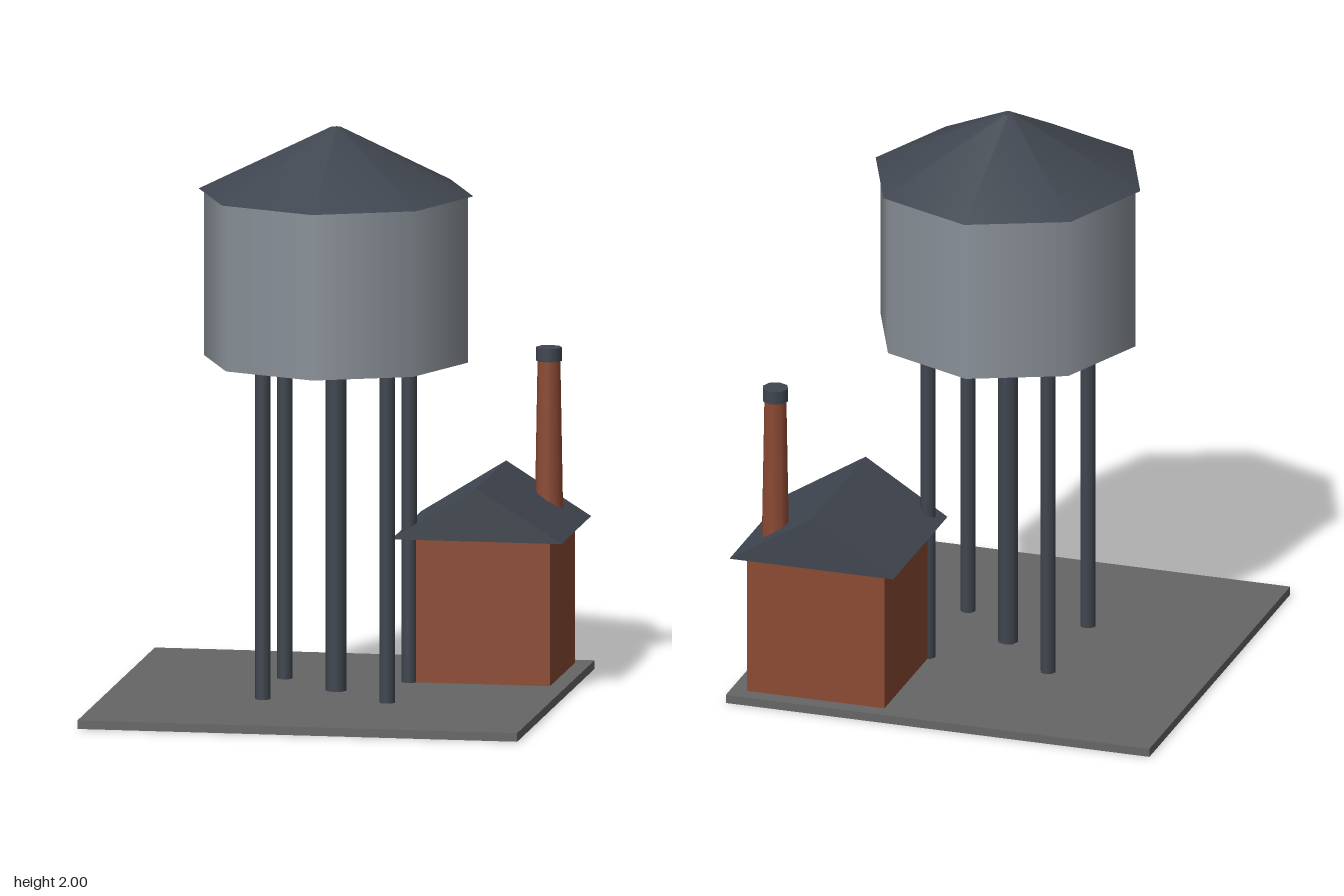
import * as THREE from 'three';

const paint = (name, color) => {
  const m = new THREE.MeshStandardMaterial({ color });
  m.name = name;
  return m;
};

export function createModel() {
  const model = new THREE.Group();
  model.name = 'waterTower';

  const concrete = paint('concrete', 0x666666);
  const steel = paint('tankSteel', 0x8a9199);
  const slate = paint('darkSlate', 0x404650);
  const brick = paint('brick', 0x8c4a33);

  const add = (name, geometry, material, x, y, z) => {
    const mesh = new THREE.Mesh(geometry, material);
    mesh.name = name;
    mesh.position.set(x, y, z);
    model.add(mesh);
    return mesh;
  };
  // Eight-sided upright column between two heights
  const column = (name, rTop, rBottom, y0, y1, material, x = 0, z = 0) =>
    add(name, new THREE.CylinderGeometry(rTop, rBottom, y1 - y0, 8), material, x, (y0 + y1) / 2, z);

  // Ground slab
  add('groundSlab', new THREE.BoxGeometry(1.54, 0.03, 1.54), concrete, 0, 0.015, 0);

  // Tower: riser pipe, four legs, tank and conical roof
  column('riserPipe', 0.036, 0.036, 0.03, 1.19, slate);
  for (const x of [-0.218, 0.218]) {
    for (const z of [-0.218, 0.218]) column('towerLeg', 0.027, 0.027, 0.03, 1.19, slate, x, z);
  }
  column('tank', 0.463, 0.463, 1.19, 1.775, steel);
  column('tankRoof', 0.02, 0.481, 1.772, 2, slate);

  // Pump house in the back corner
  const c = 0.4625;
  add('houseWalls', new THREE.BoxGeometry(0.5, 0.507, 0.5), brick, c, 0.2835, -c);

  // Gable roof with its ridge running front to back
  const half = 0.2975;
  const gable = new THREE.Shape([
    new THREE.Vector2(-half, 0),
    new THREE.Vector2(half, 0),
    new THREE.Vector2(0, 0.186),
  ]);
  const gableGeometry = new THREE.ExtrudeGeometry(gable, { depth: half * 2, bevelEnabled: false });
  add('houseRoof', gableGeometry, slate, c, 0.536, -c - half);

  // Tapered chimney and cap
  column('chimney', 0.04, 0.05, 0.54, 1.1, brick, 0.634, -0.636);
  column('chimneyCap', 0.046, 0.046, 1.097, 1.144, slate, 0.634, -0.636);

  return model;
}
